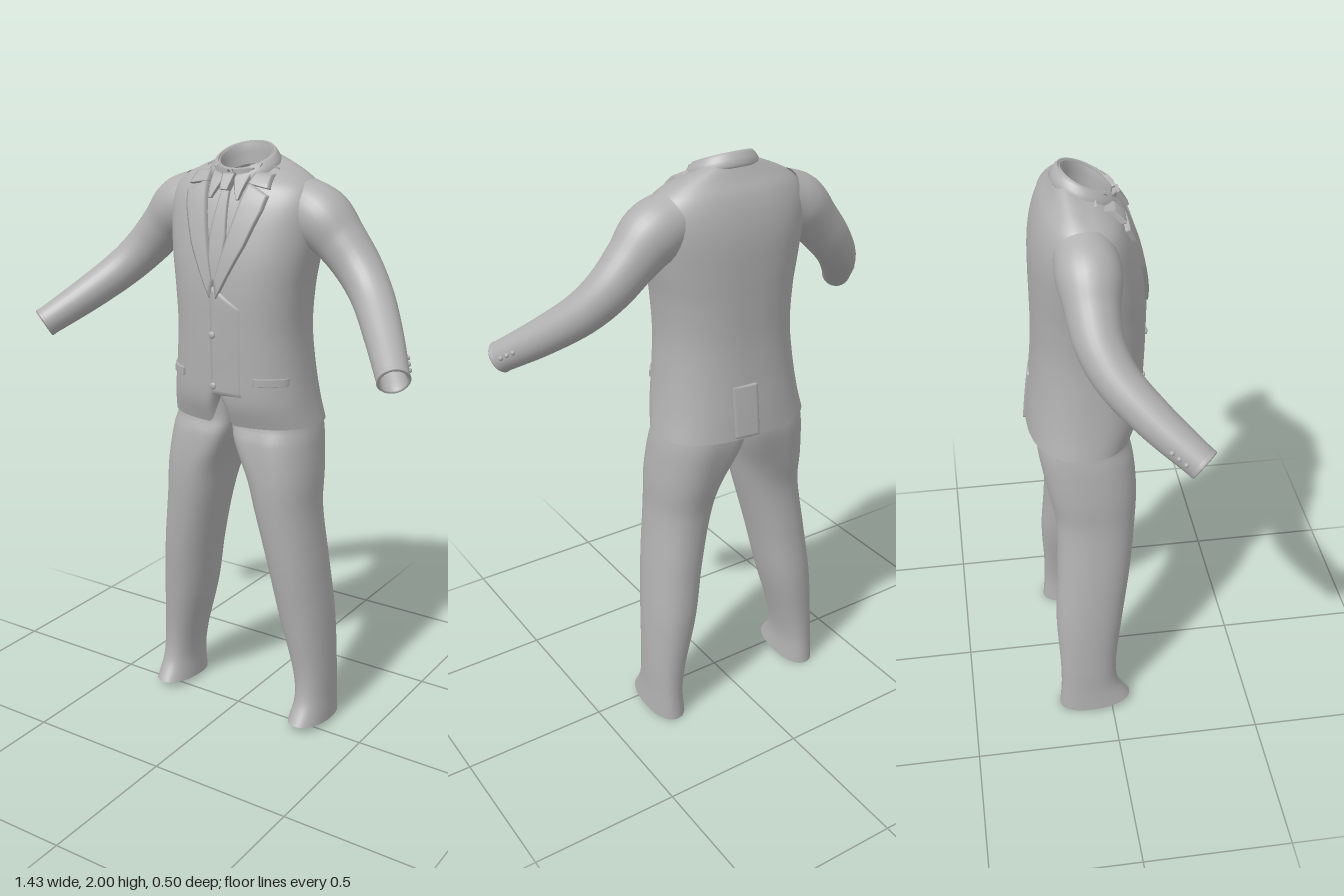
import * as THREE from 'three';
import { mergeVertices } from 'three/addons/utils/BufferGeometryUtils.js';

const N = 2.4; // roundness of the jacket's cross-section
const { clamp } = THREE.MathUtils;
const pow = (t, e) => Math.sign(t) * Math.pow(Math.abs(t), e);

// Jacket body sections: height, half width, front z, back z, neckline tilt
const BODY = [
  [1.10, .268, .100, -.250, 0], [1.18, .252, .128, -.243, 0], [1.30, .235, .135, -.230, 0],
  [1.42, .226, .138, -.222, 0], [1.55, .235, .138, -.222, 0], [1.65, .252, .128, -.223, 0],
  [1.75, .266, .106, -.220, 0], [1.82, .268, .085, -.207, .005], [1.87, .250, .066, -.185, .015],
  [1.90, .213, .054, -.158, .026], [1.92, .165, .045, -.142, .034], [1.932, .125, .039, -.132, .038],
  [1.94, .095, .035, -.120, .040],
];

// Leg sections: height, inner x, outer x, front z, back z, squareness of the inner side
const LEG = [
  [.015, .215, .345, .070, -.187, 2.2], [.10, .222, .340, .028, -.180, 2.2], [.20, .208, .338, .020, -.180, 2.2],
  [.40, .158, .328, .045, -.188, 2.2], [.60, .120, .308, .073, -.178, 2.2], [.80, .075, .284, .093, -.175, 2.3],
  [.92, .048, .280, .098, -.198, 2.8], [1.05, .008, .267, .088, -.222, 5], [1.10, 0, .257, .072, -.224, 6],
  [1.22, 0, .235, .085, -.210, 6],
];

// Smooth interpolation of a section table
function sample(t, y) {
  let i = 0;
  while (i < t.length - 2 && y > t[i + 1][0]) i++;
  const a = t[i], b = t[i + 1], p = t[i - 1] || a, q = t[i + 2] || b, h = b[0] - a[0];
  const s = clamp((y - a[0]) / h, 0, 1), s2 = s * s, s3 = s2 * s;
  return a.map((_, k) => {
    const m0 = (b[k] - p[k]) / (b[0] - p[0]) * h, m1 = (q[k] - a[k]) / (q[0] - a[0]) * h;
    return (2 * s3 - 3 * s2 + 1) * a[k] + (s3 - 2 * s2 + s) * m0 + (3 * s2 - 2 * s3) * b[k] + (s3 - s2) * m1;
  });
}

// Weld seams and smooth the normals
function smooth(geo) {
  geo.deleteAttribute('uv');
  geo.deleteAttribute('normal');
  const g = mergeVertices(geo, 1e-5);
  g.computeVertexNormals();
  return g;
}

// Grid surface whose points follow fn(u, v)
function surface(nu, nv, fn) {
  const geo = new THREE.PlaneGeometry(1, 1, nu, nv), pos = geo.attributes.position;
  for (let j = 0, k = 0; j <= nv; j++)
    for (let i = 0; i <= nu; i++) pos.setXYZ(k++, ...fn(i / nu, j / nv));
  return smooth(geo);
}

// Point on the jacket's front (side 1) or back (side -1), raised by off
function onBody(x, y, side, off) {
  let Y = y, row, c;
  for (let i = 0; i < 14; i++) {
    row = sample(BODY, Y);
    c = Math.sqrt(Math.max(0, 1 - Math.pow(Math.abs(x / row[1]), N)));
    Y = clamp(y + row[4] * c * side, 1.1, 1.94);
  }
  const zc = (row[2] + row[3]) / 2, hz = (row[2] - row[3]) / 2;
  const lift = .5 * clamp((y - 1.8) / .1, 0, 1);
  return [x, y + off * lift, zc + side * (hz * Math.pow(c, 2 / N) + off)];
}

// Point along a polyline of [x, y]
function along(line, t) {
  const f = t * (line.length - 1), i = Math.min(Math.floor(f), line.length - 2), s = f - i;
  return [0, 1].map(k => line[i][k] + (line[i + 1][k] - line[i][k]) * s);
}

// Cloth piece lying on the body between two edges, its rim tucked under
function patch(edgeA, edgeB, offA, offB = offA, side = 1) {
  const nu = 12, nv = 26;
  return surface(nu, nv, (u, v) => {
    const rim = u === 0 || u === 1 || v === 0 || v === 1;
    const a = clamp((u * nu - 1) / (nu - 2), 0, 1), b = clamp((v * nv - 1) / (nv - 2), 0, 1);
    const p = along(edgeA, b), q = along(edgeB, b);
    const off = rim ? -.004 : offA + (offB - offA) * a;
    return onBody(p[0] + (q[0] - p[0]) * a, p[1] + (q[1] - p[1]) * a, side, off);
  });
}

// Band around the tilted neckline; profile points are [outward, down]
function neckBand(profile, gap) {
  return surface(72, profile.length - 1, (u, v) => {
    const a = gap + u * (Math.PI * 2 - gap * 2);
    const [out, down] = profile[Math.round(v * (profile.length - 1))];
    return [(.095 + out) * Math.sin(a), 1.962 - .035 * Math.cos(a) - down, -.045 + (.082 + out) * Math.cos(a)];
  });
}

export function createModel() {
  const root = new THREE.Group();
  root.name = 'suit';
  const cloth = new THREE.MeshStandardMaterial({ color: 0xb0b0b0, side: THREE.DoubleSide });
  cloth.name = 'grey cloth';
  const add = (name, geo, parent = root) => {
    const m = new THREE.Mesh(geo, cloth);
    m.name = name;
    parent.add(m);
    return m;
  };

  // Jacket body with a cut-away notch at the front hem
  add('jacketBody', surface(144, 60, (u, v) => {
    const a = u * Math.PI * 2, c = Math.cos(a), s = Math.sin(a);
    const Y = 1.1 + .84 * (1 - Math.pow(1 - v, 1.6));
    const [, w, zf, zb, tilt] = sample(BODY, Y);
    const x = w * pow(s, 2 / N);
    let y = Y - tilt * c;
    if (c > 0 && Y < 1.25) y += .1 * Math.max(0, 1 - Math.abs(x) / .04) * (1.25 - Y) / .15;
    return [x, y, (zf + zb) / 2 + (zf - zb) / 2 * pow(c, 2 / N)];
  }));

  // Overlapping front edge and back vent
  add('frontOverlap', patch([[-.012, 1.57], [-.012, 1.21]], [[.09, 1.5], [.09, 1.21]], .009, 0));
  add('backVent', patch([[-.006, 1.28], [-.004, 1.105]], [[.08, 1.28], [.08, 1.105]], .009, 0, -1));

  // Collars, shirt front and tie
  add('jacketCollar', neckBand([[-.008, .03], [-.005, .003], [0, -.003], [.008, .004], [.016, .016], [.026, .032], [.02, .042]], .65));
  add('shirtCollar', neckBand([[-.014, .07], [-.013, .03], [-.011, .004], [-.007, .001], [-.002, .008], [.002, .035]], 0));
  add('tieKnot', patch([[-.024, 1.905], [-.014, 1.858]], [[.024, 1.905], [.014, 1.858]], .022));
  add('tieBlade', patch([[-.013, 1.865], [-.03, 1.72], [-.02, 1.58]], [[.013, 1.865], [.03, 1.72], [.02, 1.58]], .009));

  for (const s of [1, -1]) {
    const side = s > 0 ? 'left' : 'right';
    const line = pts => pts.map(([x, y]) => [x * s, y]);
    add(side + 'Lapel', patch(line([[.077, 1.885], [.05, 1.77], [.003, 1.58]]),
      line([[.15, 1.85], [.142, 1.81], [.10, 1.70], [.012, 1.53]]), .014));
    add(side + 'CollarLeaf', patch(line([[.09, 1.935], [.075, 1.88]]), line([[.135, 1.922], [.148, 1.868]]), .014));
    add(side + 'ShirtWing', patch(line([[.005, 1.917], [.048, 1.833]]), line([[.076, 1.925], [.054, 1.833]]), .012));
    add(side + 'PocketFlap', patch(line([[.135, 1.277], [.135, 1.252]]), line([[.222, 1.275], [.222, 1.25]]), .010));

    // Trouser leg, its hem dipping at the back
    add(side + 'TrouserLeg', surface(56, 60, (u, v) => {
      const a = u * Math.PI * 2, c = Math.cos(a), sn = Math.sin(a);
      const [y, xi, xo, zf, zb, n] = sample(LEG, .015 + 1.205 * v);
      const e = 2 / (c < 0 ? n : 2.2);
      let x = (xi + xo) / 2 + (xo - xi) / 2 * pow(c, e);
      if (s < 0) x = -(x + .012 * (1 - y / 1.1));
      const z = (zf + zb) / 2 + (zf - zb) / 2 * pow(sn, e);
      return [x, y + .014 * sn * Math.max(0, 1 - y / .1), z];
    }));

    // Sleeve: a bent tube tapering to the wrist
    const arm = new THREE.Group();
    arm.name = side + 'Sleeve';
    arm.scale.x = s;
    root.add(arm);
    const path = new THREE.CatmullRomCurve3([[.19, 1.815, -.075], [.27, 1.775, -.07], [.34, 1.71, -.07],
      [.41, 1.635, -.06], [.48, 1.56, -.02], [.57, 1.47, .075], [.67, 1.375, .2]].map(p => new THREE.Vector3(...p)));
    const radii = [[0, .092], [.12, .099], [.25, .083], [.39, .074], [.54, .067], [.75, .060], [1, .050]];
    const rows = 48, ring = 28, tube = new THREE.TubeGeometry(path, rows, 1, ring), pos = tube.attributes.position;
    const p = new THREE.Vector3();
    for (let i = 0, k = 0; i <= rows; i++) {
      const centre = path.getPointAt(i / rows), r = sample(radii, i / rows)[1];
      for (let j = 0; j <= ring; j++, k++) {
        p.fromBufferAttribute(pos, k).sub(centre).multiplyScalar(r).add(centre);
        pos.setXYZ(k, p.x, p.y, p.z);
      }
    }
    add('sleeveTube', smooth(tube), arm);

    // Hollow cuff with a turned-in rim
    const end = path.getPointAt(1), dir = path.getTangentAt(1);
    const profile = [[.0505, -.012], [.052, 0], [.049, .004], [.042, .001], [.040, -.03], [.038, -.07]];
    const cuff = add('cuff', new THREE.LatheGeometry(profile.map(q => new THREE.Vector2(...q)), 28), arm);
    cuff.position.copy(end);
    cuff.quaternion.setFromUnitVectors(new THREE.Vector3(0, 1, 0), dir);

    // Cuff buttons along the outer back of the sleeve
    for (let i = 0; i < 3; i++) {
      const u = .95 - i * .035, t = path.getTangentAt(u);
      const out = new THREE.Vector3(.7, .1, -.6).addScaledVector(t, -t.dot(new THREE.Vector3(.7, .1, -.6))).normalize();
      const b = add('cuffButton', new THREE.SphereGeometry(.008, 12, 8), arm);
      b.position.copy(path.getPointAt(u)).addScaledVector(out, sample(radii, u)[1]);
    }
  }

  // Front buttons
  for (const y of [1.41, 1.24]) {
    const b = add('frontButton', new THREE.SphereGeometry(.012, 16, 10));
    b.scale.z = .5;
    b.position.set(...onBody(-.004, y, 1, .011));
  }
  return root;
}
